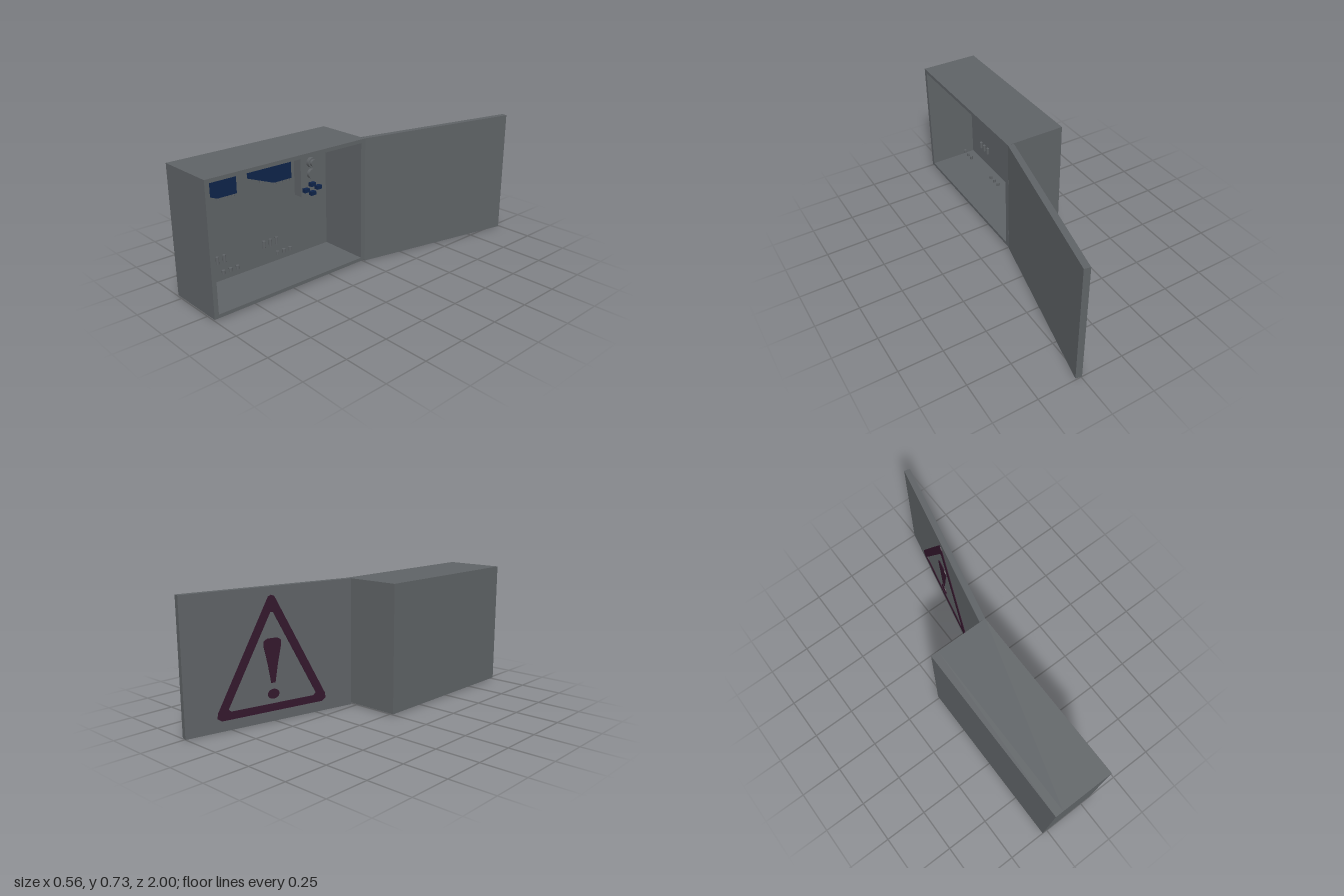
import * as THREE from 'three';

const mat = (name, color) => {
  const m = new THREE.MeshStandardMaterial({ color });
  m.name = name;
  return m;
};

export function createModel() {
  const grey = mat('cabinet grey', 0x5e6265);
  const blue = mat('dark blue', 0x0e2349);
  const plum = mat('dark plum', 0x33172c);
  const root = new THREE.Group();
  root.name = 'electricalCabinet';

  const add = (parent, name, geo, material, x = 0, y = 0, z = 0) => {
    const m = new THREE.Mesh(geo, material);
    m.name = name;
    m.position.set(x, y, z);
    parent.add(m);
    return m;
  };
  const poly = (pts, Type = THREE.Shape) => new Type(pts.map(([x, y]) => new THREE.Vector2(x, y)));
  const rect = (x0, y0, x1, y1) => [[x0, y0], [x1, y0], [x1, y1], [x0, y1]];
  // Extrudes a shape drawn in (z, y) towards -x
  const extrudeBack = (shape, depth) =>
    new THREE.ExtrudeGeometry(shape, { depth, bevelEnabled: false, curveSegments: 12 }).rotateY(-Math.PI / 2);

  // Cabinet shell, open towards +x
  const panelX = -0.235;
  const frame = poly(rect(-0.01, 0.008, 1, 0.732));
  frame.holes.push(poly(rect(0.02, 0.028, 0.975, 0.711), THREE.Path));
  add(root, 'cabinetWalls', extrudeBack(frame, 0.302), grey, 0.067);
  add(root, 'cabinetBack', new THREE.BoxGeometry(0.045, 0.724, 1.01), grey, -0.2575, 0.37, 0.495);

  // Breakers: tapered blocks with rows of terminal pins
  const pin = (parent, name, x, y, z, h) =>
    add(parent, name, new THREE.CylinderGeometry(0.009, 0.009, h, 12), grey, x, y, z);
  [0.7875, 0.4425].forEach((z, i) => {
    const g = new THREE.Group();
    g.name = 'breaker' + (i + 1);
    root.add(g);
    // Plan drawn in (x, -z), raised along y
    const plan = poly([[panelX, -0.1225], [-0.085, -0.0575], [-0.085, 0.0575], [panelX, 0.1225]]);
    const body = new THREE.ExtrudeGeometry(plan, { depth: 0.095, bevelEnabled: false }).rotateX(-Math.PI / 2);
    add(g, 'breakerBody', body, blue, 0, 0.56, z);
    for (const dz of [0.043, 0, -0.043]) {
      pin(g, 'upperRearPin', panelX + 0.012, 0.542, z + dz, 0.045);
      pin(g, 'upperFrontPin', -0.1, 0.555, z + dz, 0.02);
      pin(g, 'lowerRearPin', panelX + 0.012, 0.157, z + dz, 0.042);
      pin(g, 'lowerFrontPin', -0.1, 0.15, z + dz, 0.02);
    }
  });

  // Control unit with two dials and a cross of four buttons
  const control = new THREE.Group();
  control.name = 'controlUnit';
  root.add(control);
  const faceX = -0.175;
  add(control, 'controlBody', new THREE.BoxGeometry(0.06, 0.245, 0.14), grey, faceX - 0.03, 0.5125, 0.18);
  const dial = (name, r, h, y) =>
    add(control, name, new THREE.CylinderGeometry(r, r, h, 20).rotateZ(Math.PI / 2), grey, faceX + h / 2, y, 0.18);
  dial('upperDial', 0.029, 0.02, 0.583);
  dial('upperDialKnob', 0.02, 0.035, 0.583);
  dial('lowerDial', 0.028, 0.02, 0.517);
  for (const [y, z] of [[0.455, 0.18], [0.403, 0.18], [0.429, 0.226], [0.429, 0.138]])
    add(control, 'button', new THREE.BoxGeometry(0.025, 0.022, 0.034), blue, faceX + 0.0125, y, z);

  // Open door, hinged at the rear edge of the opening
  const L = 1.008, T = 0.035;
  const door = new THREE.Group();
  door.name = 'door';
  door.position.set(0.032, 0, -0.015);
  door.rotation.y = -0.213;
  root.add(door);
  add(door, 'doorPanel', new THREE.BoxGeometry(T, 0.732, L), grey, T / 2, 0.366, -L / 2);

  // Warning sign on the outer face of the door
  const sign = new THREE.Group();
  sign.name = 'warningSign';
  sign.position.z = -L / 2;
  door.add(sign);
  const triangle = poly([[-0.305, 0.058], [0.305, 0.058], [0.328, 0.075], [0.322, 0.105],
    [0.018, 0.68], [0, 0.688], [-0.018, 0.68], [-0.322, 0.105], [-0.328, 0.075]]);
  triangle.holes.push(poly([[-0.25, 0.1], [0.25, 0.1], [0.264, 0.115], [0.008, 0.598],
    [-0.008, 0.598], [-0.264, 0.115]], THREE.Path));
  const stroke = poly([[-0.012, 0.215], [0.012, 0.215], [0.03, 0.32], [0.052, 0.42], [0.05, 0.445],
    [0.03, 0.458], [-0.03, 0.458], [-0.05, 0.445], [-0.052, 0.42], [-0.03, 0.32]]);
  const dot = new THREE.Shape().absellipse(0, 0.153, 0.034, 0.027, 0, Math.PI * 2, false);
  add(sign, 'signBorder', extrudeBack(triangle, 0.004), plum);
  add(sign, 'signStroke', extrudeBack(stroke, 0.004), plum);
  add(sign, 'signDot', extrudeBack(dot, 0.004), plum);

  return root;
}
